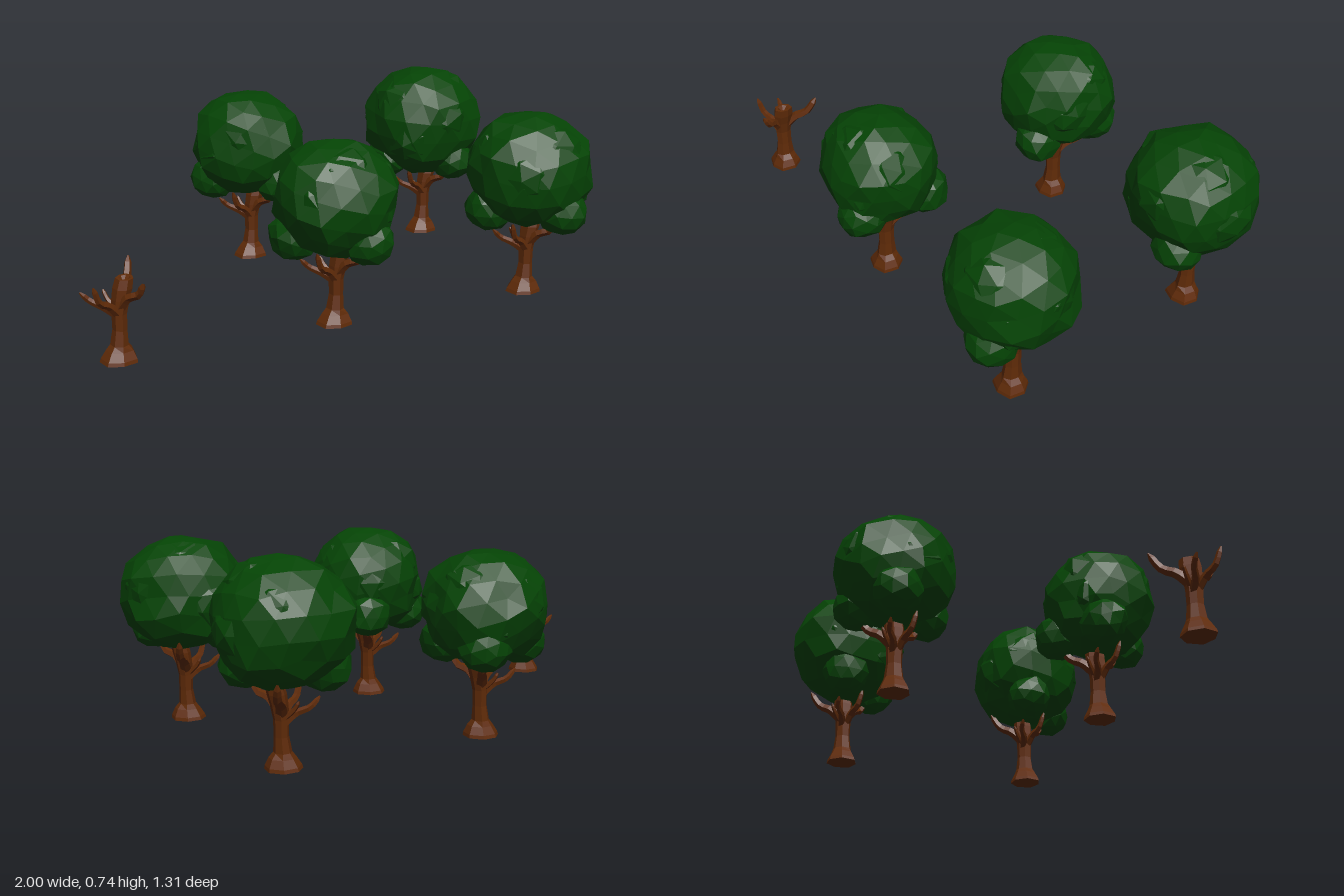
import * as THREE from 'three';

const bark = new THREE.MeshStandardMaterial({ color: 0x602b08 });
bark.name = 'bark brown';
const leaf = new THREE.MeshStandardMaterial({ color: 0x054405 });
leaf.name = 'leaf green';

// Repeatable value in 0..1 from a position and a seed
function hash(x, y, z, seed) {
  const q = (n) => Math.round(n * 1000) / 1000 + 0;
  const s = Math.sin(q(x) * 127.1 + q(y) * 311.7 + q(z) * 74.7 + seed * 19.19) * 43758.5453;
  return s - Math.floor(s);
}

// Faceted normals
function faceted(geometry) {
  const g = geometry.index ? geometry.toNonIndexed() : geometry;
  g.computeVertexNormals();
  return g;
}

function addMesh(parent, name, geometry, material) {
  const mesh = new THREE.Mesh(geometry, material);
  mesh.name = name;
  parent.add(mesh);
  return mesh;
}

// Chunky leaf mass: a slightly boxy ball with uneven corners
function leafMass(rx, ry, rz, seed, detail) {
  const g = new THREE.IcosahedronGeometry(1, detail);
  g.rotateX(seed * 1.3).rotateY(seed * 0.9);
  const p = g.attributes.position;
  const v = new THREE.Vector3();
  for (let i = 0; i < p.count; i++) {
    v.fromBufferAttribute(p, i).normalize();
    const n = 2.25;
    const box = Math.pow(Math.abs(v.x) ** n + Math.abs(v.y) ** n + Math.abs(v.z) ** n, -1 / n);
    const k = box * (0.94 + 0.06 * hash(v.x, v.y, v.z, seed));
    const jx = 0.1 * (hash(v.y, v.z, v.x, seed) - 0.5);
    const jz = 0.1 * (hash(v.z, v.x, v.y, seed) - 0.5);
    p.setXYZ(i, (v.x * k + jx) * rx, v.y * k * ry, (v.z * k + jz) * rz);
  }
  return faceted(g);
}

// Crown: a main mass with overlapping lobes that form shallow ledges
function makeCrown(rx, ry, rz, seed) {
  const crown = new THREE.Group();
  crown.name = 'crown';
  addMesh(crown, 'mainMass', leafMass(rx, ry, rz, seed, 2), leaf);
  const lobes = 7, size = 0.56, offset = 0.46;
  for (let i = 0; i < lobes; i++) {
    const a = i * 2.4 + seed * 1.7;
    const h = 0.8 - i * 0.19;
    const r = Math.sqrt(1 - h * h);
    const lobe = addMesh(crown, 'lobe', leafMass(rx * size, ry * size, rz * size, seed + i * 5, 1), leaf);
    lobe.position.set(Math.cos(a) * r * rx * offset, h * ry * offset, Math.sin(a) * r * rz * offset);
  }
  return crown;
}

// Tapering five-sided limb along a bent path, closed to a blunt tip
function limb(points, r0, r1) {
  const curve = new THREE.CatmullRomCurve3(points.map((q) => new THREE.Vector3(...q)));
  const seg = 8, sides = 5;
  const g = new THREE.TubeGeometry(curve, seg, 1, sides, false);
  const p = g.attributes.position;
  const v = new THREE.Vector3();
  for (let i = 0; i <= seg; i++) {
    // The last ring folds in to close the tip
    const c = curve.getPointAt(i / seg);
    const r = i === seg ? 0.003 : r0 + (r1 - r0) * (i / (seg - 1));
    for (let j = 0; j <= sides; j++) {
      const k = i * (sides + 1) + j;
      v.fromBufferAttribute(p, k).sub(c).multiplyScalar(r).add(c);
      p.setXYZ(k, v.x, v.y, v.z);
    }
  }
  return faceted(g);
}

// Limb paths, measured from the foot of the trunk
const limbs = [
  { name: 'frontBranch', r: 0.02, path: [[0.01, 0.2, 0.01], [0.03, 0.25, 0.05], [0.055, 0.265, 0.08], [0.065, 0.315, 0.11]] },
  { name: 'backBranch', r: 0.022, path: [[0.01, 0.2, -0.01], [0.035, 0.245, -0.05], [0.065, 0.27, -0.09], [0.085, 0.335, -0.13]] },
  { name: 'lowSideBranch', r: 0.016, path: [[0, 0.17, -0.01], [-0.04, 0.2, -0.02], [-0.08, 0.22, -0.045], [-0.115, 0.255, -0.05]] },
  { name: 'highSideBranch', r: 0.017, path: [[0, 0.18, 0.01], [-0.035, 0.22, 0.025], [-0.07, 0.24, 0.04], [-0.095, 0.305, 0.055]] },
  { name: 'shortTwig', r: 0.012, path: [[0.01, 0.18, -0.01], [-0.02, 0.22, -0.045], [-0.03, 0.25, -0.06]] },
];

function makeTrunk() {
  const trunk = new THREE.Group();
  trunk.name = 'trunk';
  // Flared foot, slim stem and a hollowed broken top that leans aside
  const profile = [[0, 0], [0.064, 0.003], [0.061, 0.016], [0.046, 0.045], [0.031, 0.065], [0.025, 0.12],
    [0.026, 0.18], [0.03, 0.23], [0.033, 0.27], [0.03, 0.305], [0.02, 0.305], [0, 0.28]];
  const g = new THREE.LatheGeometry(profile.map((q) => new THREE.Vector2(...q)), 7);
  const p = g.attributes.position;
  for (let i = 0; i < p.count; i++) {
    const x = p.getX(i), y = p.getY(i), z = p.getZ(i);
    const a = Math.round((Math.atan2(z, x) / (Math.PI * 2)) * 7 + 7) % 7;
    const k = 0.93 + 0.2 * hash(a, y > 0.06 ? 1 : 0, 0, 3);
    const lean = Math.min(y, 0.1) * 0.1 + Math.max(0, y - 0.2) * 0.22;
    p.setXYZ(i, x * k + lean, y, z * k * (y > 0.06 ? 1.15 : 1));
  }
  addMesh(trunk, 'stem', faceted(g), bark);
  for (const b of limbs) addMesh(trunk, b.name, limb(b.path, b.r, b.r * 0.6), bark);
  return trunk;
}

// Foot position, crown centre, crown radii, and whether the back branch carries leaves
const trees = [
  { name: 'frontRightTree', at: [-0.065, 0.42], c: [0, 0.493, 0.008], r: [0.226, 0.218, 0.22], back: true },
  { name: 'backRightTree', at: [-0.065, -0.405], c: [-0.002, 0.497, -0.012], r: [0.228, 0.217, 0.232], back: true },
  { name: 'frontLeftTree', at: [0.757, 0.42], c: [0.002, 0.503, 0.006], r: [0.244, 0.224, 0.228], back: false },
  { name: 'backLeftTree', at: [0.757, -0.405], c: [-0.01, 0.513, 0.008], r: [0.247, 0.234, 0.24], back: false },
];

export function createModel() {
  const model = new THREE.Group();
  model.name = 'grove';

  trees.forEach((t, i) => {
    const tree = new THREE.Group();
    tree.name = t.name;
    tree.position.set(t.at[0], 0, t.at[1]);
    tree.add(makeTrunk());
    const crown = makeCrown(...t.r, i + 1);
    crown.position.set(...t.c);
    tree.add(crown);
    // Small leaf clumps on the limb ends
    const clumps = [['frontClump', 0.072, 0.358, 0.135], ['sideClump', -0.145, 0.355, -0.035]];
    if (t.back) clumps.push(['backClump', 0.085, 0.365, -0.133]);
    clumps.forEach(([name, x, y, z], j) => {
      addMesh(tree, name, leafMass(0.095, 0.09, 0.095, i * 3 + j + 6, 1), leaf).position.set(x, y, z);
    });
    model.add(tree);
  });

  // Leafless trunk standing apart
  const bare = makeTrunk();
  bare.name = 'bareTree';
  bare.position.set(-0.887, 0, 0.42);
  model.add(bare);
  return model;
}
